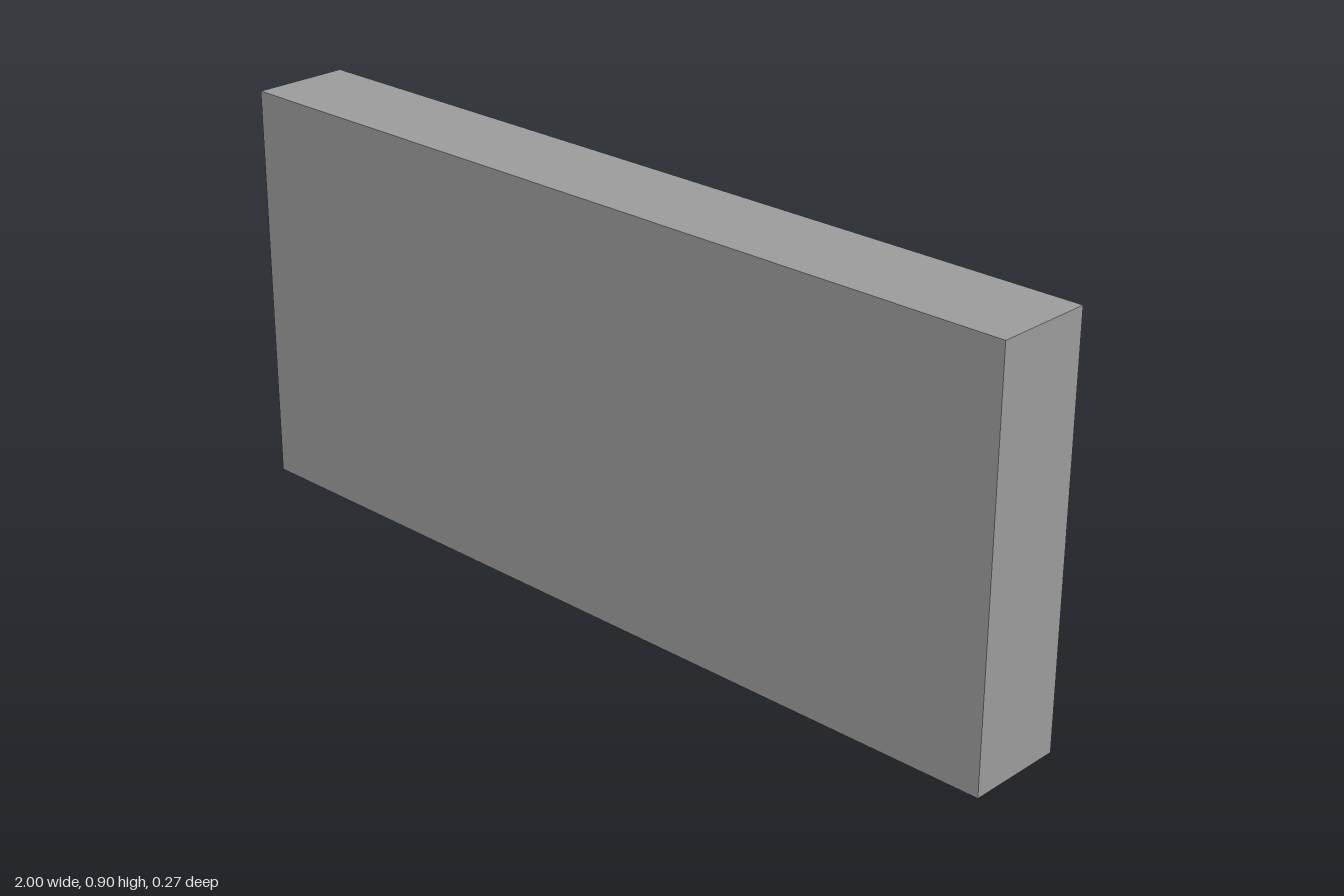
import * as THREE from 'three';

const T = 0.042, W = 0.15; // book thickness and width
const L_STAND = 0.222, L_LIE = 0.24; // book lengths
const B = 0.016; // board thickness
const H = 0.905, zOpen = -0.087, zWall = 0.135;
const floors = [0, 1, 2].map((i) => B + (i * (H - B)) / 3); // upper faces of the shelves

const material = new THREE.MeshStandardMaterial({ color: 0x9d9d9d });

// Cover: a U-shaped section with a rounded spine, extruded along the book's length
function coverGeometry(length) {
  const c = 0.005, h = T / 2, w = W / 2;
  const s = new THREE.Shape();
  s.moveTo(-h, -w);
  s.lineTo(-h + c, -w);
  s.lineTo(-h + c, w - 0.012);
  s.lineTo(h - c, w - 0.012);
  s.lineTo(h - c, -w);
  s.lineTo(h, -w);
  s.lineTo(h, w - 0.006);
  s.quadraticCurveTo(0, w + 0.006, -h, w - 0.006);
  s.closePath();
  const g = new THREE.ExtrudeGeometry(s, { depth: length, bevelEnabled: false, curveSegments: 8 });
  return g.translate(0, 0, -length / 2).rotateX(-Math.PI / 2);
}

// One book, upright, centred, with its spine towards -z
function bookMaker(length) {
  const cover = coverGeometry(length);
  const pages = new THREE.BoxGeometry(T - 0.01, length - 0.016, W - 0.02);
  return () => {
    const g = new THREE.Group();
    const a = new THREE.Mesh(cover, material);
    a.name = 'cover';
    const b = new THREE.Mesh(pages, material);
    b.name = 'pages';
    b.position.z = 0.002;
    g.add(a, b);
    return g;
  };
}

export function createModel() {
  const model = new THREE.Group();
  const standingBook = bookMaker(L_STAND);
  const lyingBook = bookMaker(L_LIE);

  const board = (name, w, h, d, x, y, z) => {
    const m = new THREE.Mesh(new THREE.BoxGeometry(w, h, d), material);
    m.name = name;
    m.position.set(x, y, z);
    model.add(m);
  };

  // Upright book resting on its lower corner at x; side is the direction of its lean
  const stand = (shelf, side, x, lean, lift = 0) => {
    const pivot = new THREE.Group();
    pivot.name = 'standingBook';
    const book = standingBook();
    book.position.set(-side * T / 2, L_STAND / 2, 0);
    pivot.add(book);
    pivot.position.set(x, floors[shelf] + lift, 0.013);
    pivot.rotation.z = -side * THREE.MathUtils.degToRad(lean);
    model.add(pivot);
  };

  // Book lying flat, placed by its (+x, -z) corner and turned about that corner
  const lie = (shelf, level, x, z, yaw) => {
    const pivot = new THREE.Group();
    pivot.name = 'lyingBook';
    const book = lyingBook();
    book.rotation.z = Math.PI / 2;
    book.position.set(-L_LIE / 2, T / 2, W / 2);
    pivot.add(book);
    pivot.position.set(x, floors[shelf] + level * (T + 0.001), z);
    pivot.rotation.y = THREE.MathUtils.degToRad(yaw);
    model.add(pivot);
  };

  // Case
  const depth = zWall - zOpen, zMid = (zWall + zOpen) / 2;
  for (const s of [-1, 1]) board('sidePanel', B, H, depth, s * (1 - B / 2), H / 2, zMid);
  board('wallPanel', 2 - 2 * B, H, B, 0, H / 2, zWall - B / 2);
  board('topPanel', 2 - 2 * B, B, depth - B, 0, H - B / 2, zMid - B / 2);
  for (const y of floors) board('shelf', 2 - 2 * B, B, depth - B, 0, y - B / 2, zMid - B / 2);

  // Standing books: shelf, lean direction, x of the resting corner, lean in degrees, lift
  [
    [2, 1, 0.978, 0], [2, 1, 0.93, 0.5], [2, 1, 0.882, 1], [2, 1, 0.833, 1.5],
    [2, 1, 0.66, 33, T],
    [2, -1, -0.978, 0], [2, -1, -0.931, 1], [2, -1, -0.872, 4], [2, -1, -0.775, 14],
    [1, 1, 0.978, 0], [1, 1, 0.931, 2], [1, 1, 0.874, 6], [1, 1, 0.802, 12], [1, 1, 0.605, 43],
    [1, -1, -0.978, 0], [1, -1, -0.931, 1], [1, -1, -0.74, 33],
  ].forEach((a) => stand(...a));

  // Lying books: shelf, level in the stack, corner x, corner z, turn in degrees
  [
    [2, 0, 0.77, -0.065, -4],
    [2, 0, 0.335, -0.06, 0], [2, 1, 0.26, -0.135, 33],
    [2, 0, -0.49, -0.103, 20], [2, 1, -0.5, -0.07, 8],
    [1, 0, 0.535, -0.05, 0], [1, 1, 0.458, -0.135, 33],
    [0, 0, 0.935, -0.06, 0], [0, 1, 0.863, -0.135, 33], [0, 2, 0.93, -0.105, 8],
    [0, 0, 0.06, -0.04, 0], [0, 1, 0.06, -0.083, 17], [0, 2, 0.085, -0.087, 5],
    [0, 3, 0.03, -0.092, 14],
    [0, 0, -0.7, -0.12, 18],
  ].forEach((a) => lie(...a));

  return model;
}
